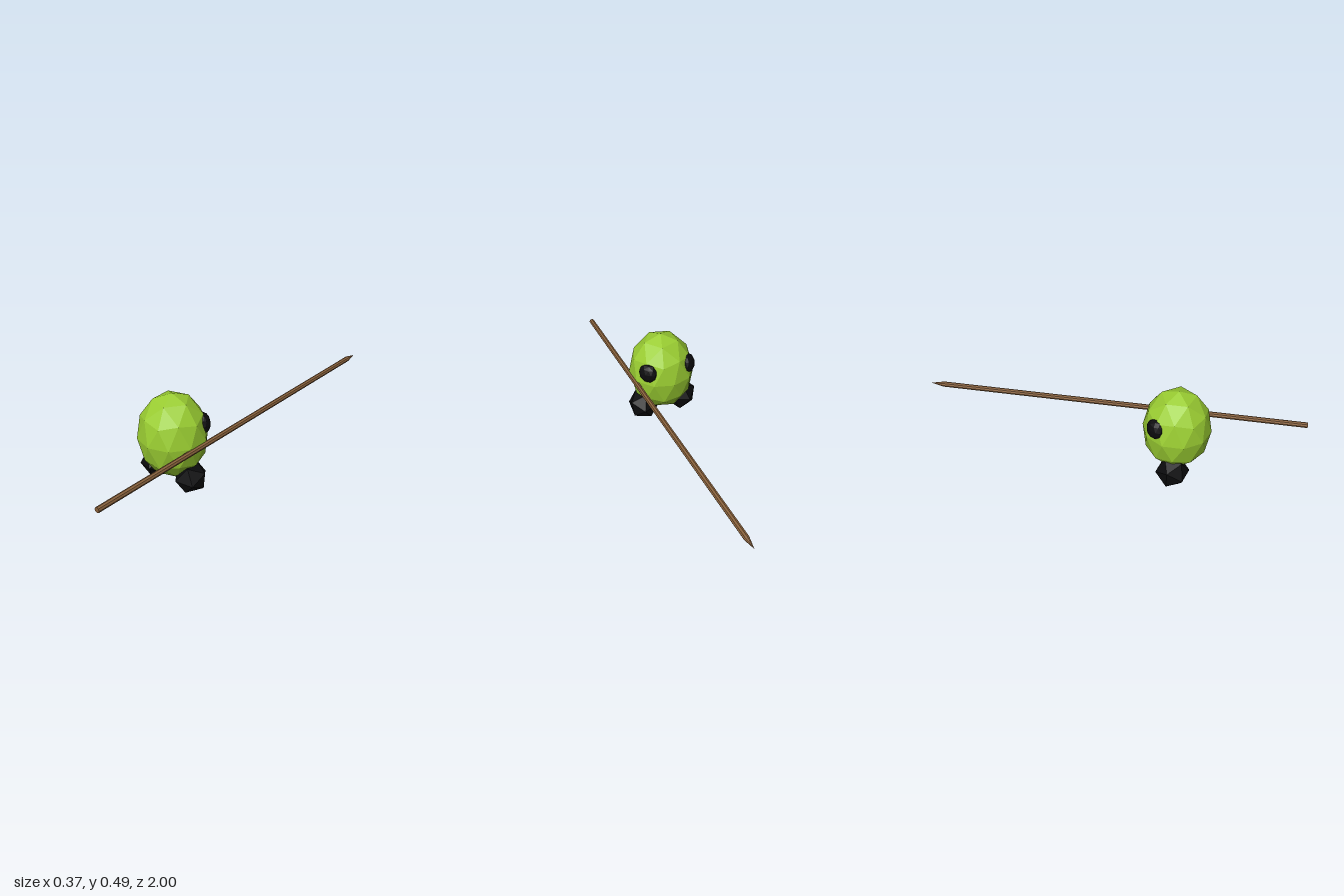
import * as THREE from 'three';

const flat = (name, color) => {
  const m = new THREE.MeshStandardMaterial({ color, flatShading: true });
  m.name = name;
  return m;
};

// Icosphere turned so one corner points straight up
const poleSphere = (detail) =>
  new THREE.IcosahedronGeometry(1, detail).rotateZ(-Math.atan(2 / (1 + Math.sqrt(5))));

export function createModel() {
  const green = flat('leafGreen', 0x9acd32);
  const black = flat('black', 0x0b0b0d);
  const brown = flat('woodBrown', 0x8a623c);

  const model = new THREE.Group();
  const add = (name, geometry, material, x, y, z, parent = model) => {
    const mesh = new THREE.Mesh(geometry, material);
    mesh.name = name;
    mesh.position.set(x, y, z);
    parent.add(mesh);
    return mesh;
  };

  // Egg-shaped faceted body
  const bodyZ = 0.354;
  add('body', poleSphere(1).scale(0.1735, 0.221, 0.1735), green, 0, 0.273, bodyZ);

  for (const side of [1, -1]) {
    const label = side > 0 ? 'left' : 'right';

    // Chunky tilted foot; a half turn about x mirrors it
    const foot = poleSphere(0).scale(0.0865, 0.0865, 0.0865)
      .rotateZ(-1.17).rotateY(0.28).rotateX(0.08);
    if (side < 0) foot.rotateX(Math.PI);
    add(label + 'Foot', foot, black, side * 0.1095, 0.079, bodyZ);

    // Flattened bulging eye on the rear-facing face
    const angle = Math.atan2(side * 0.117, -0.098);
    const eye = poleSphere(1).scale(0.051, 0.051, 0.03).rotateX(-0.18).rotateY(angle);
    add(label + 'Eye', eye, black, Math.sin(angle) * 0.151, 0.337, bodyZ + Math.cos(angle) * 0.151);
  }

  // Long pointed stick held at the side
  const spear = new THREE.Group();
  spear.name = 'spear';
  spear.position.set(0.165, 0.255, 0);
  model.add(spear);
  const shaft = new THREE.CylinderGeometry(0.0142, 0.0142, 1.93, 8).rotateX(-Math.PI / 2);
  add('spearShaft', shaft, brown, 0, 0, 0.035, spear);
  const tip = new THREE.ConeGeometry(0.0142, 0.07, 8).rotateX(-Math.PI / 2);
  add('spearTip', tip, brown, 0, 0, -0.965, spear);

  return model;
}
